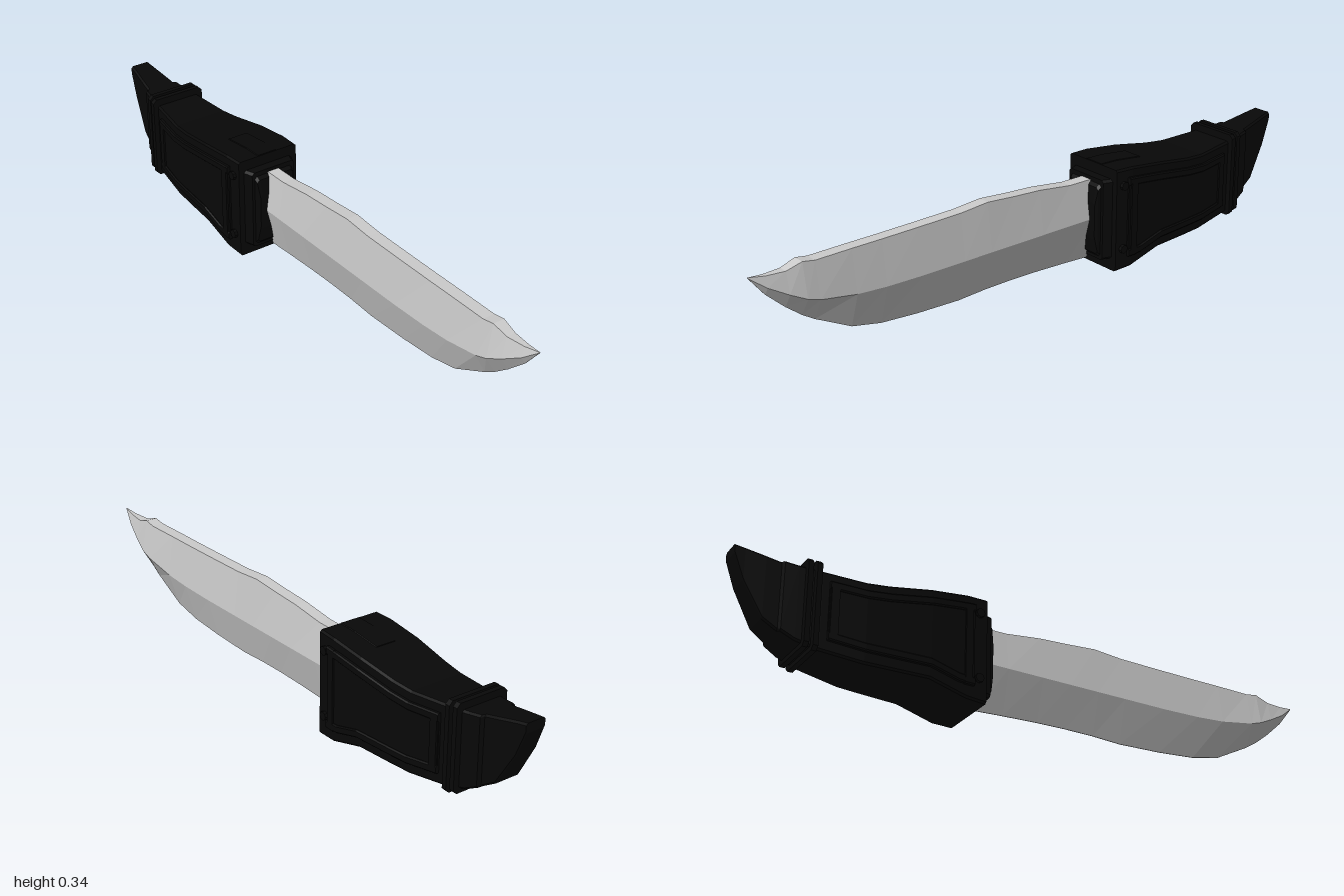
import * as THREE from 'three';

const black = new THREE.MeshStandardMaterial({ color: 0x080808, flatShading: true });
const grey = new THREE.MeshStandardMaterial({ color: 0xcccccc, flatShading: true });

// Skins a row of equal-length rings that advance along +x and caps both ends.
function loft(name, rings, material) {
  const n = rings[0].length, last = (rings.length - 1) * n, index = [];
  for (let i = 0; i < rings.length - 1; i++) {
    for (let j = 0; j < n; j++) {
      const a = i * n + j, b = i * n + (j + 1) % n;
      index.push(a, b, a + n, b, b + n, a + n);
    }
  }
  for (let j = 1; j < n - 1; j++) index.push(0, j + 1, j, last, last + j, last + j + 1);
  const g = new THREE.BufferGeometry();
  g.setAttribute('position', new THREE.Float32BufferAttribute(rings.flat(2), 3));
  g.setIndex(index);
  const flat = g.toNonIndexed();
  flat.computeVertexNormals();
  const mesh = new THREE.Mesh(flat, material);
  mesh.name = name;
  return mesh;
}

// Chamfered rectangular ring: top, bottom, half width, chamfer.
const boxRing = (x, t, b, h, c = 0.008) => [
  [x, t, h - c], [x, t - c, h], [x, b + c, h], [x, b, h - c],
  [x, b, c - h], [x, b + c, -h], [x, t - c, -h], [x, t, c - h],
];

// Handle stations: x, top, bottom, half width
const handle = [
  [-1, 0.34, 0.31, 0.034], [-0.97, 0.335, 0.23, 0.037], [-0.91, 0.323, 0.125, 0.045],
  [-0.865, 0.314, 0.097, 0.05], [-0.86, 0.313, 0.094, 0.062], [-0.82, 0.308, 0.073, 0.068],
  [-0.75, 0.303, 0.055, 0.078], [-0.62, 0.296, 0.04, 0.094], [-0.55, 0.302, 0.039, 0.1],
  [-0.42, 0.323, 0.038, 0.109], [-0.3, 0.337, 0.005, 0.11], [-0.235, 0.339, 0.002, 0.107],
];

// Interpolated handle station at x.
function at(x) {
  const i = Math.max(1, handle.findIndex((s) => s[0] >= x));
  const a = handle[i - 1], b = handle[i], k = (x - a[0]) / (b[0] - a[0]);
  return a.map((v, j) => v + (b[j] - v) * k);
}

// Slab through the handle, showing as a raised strip on both sides.
function strip(name, xs, proud, range) {
  return loft(name, xs.map((x) => {
    const [, t, b, h] = at(x), [y1, y0] = range(t, b);
    return boxRing(x, y1, y0, h + proud, 0.004);
  }), black);
}

function createModel() {
  const model = new THREE.Group();
  model.name = 'knife';

  // Blade: spine, mid ridge and sharp lower edge.
  // x, top, ridge height, bottom, spine half width, ridge half width
  const blade = [
    [-0.21, 0.294, 0.17, 0.025, 0.02, 0.038], [-0.12, 0.295, 0.17, 0.03, 0.02, 0.038],
    [0, 0.31, 0.17, 0.035, 0.02, 0.038], [0.1, 0.316, 0.17, 0.037, 0.02, 0.038],
    [0.2, 0.324, 0.17, 0.036, 0.02, 0.038], [0.3, 0.316, 0.17, 0.031, 0.02, 0.038],
    [0.45, 0.314, 0.17, 0.036, 0.02, 0.038], [0.58, 0.313, 0.173, 0.046, 0.02, 0.038],
    [0.68, 0.313, 0.18, 0.067, 0.02, 0.038], [0.8, 0.312, 0.2, 0.128, 0.02, 0.038],
    [0.84, 0.319, 0.213, 0.153, 0.019, 0.037], [0.89, 0.304, 0.238, 0.192, 0.015, 0.029],
    [0.95, 0.305, 0.272, 0.247, 0.008, 0.016], [1, 0.312, 0.311, 0.31, 0.0005, 0.001],
  ];
  model.add(loft('blade', blade.map(([x, t, r, b, s, w]) => [
    [x, t, s], [x, r, w], [x, b, 0.001], [x, b, -0.001], [x, r, -w], [x, t, -s],
  ]), grey));

  // Handle body with its tapered pommel
  model.add(loft('handle', handle.map((s) => boxRing(...s, 0.006)), black));

  // Grip panels with raised rims on both sides
  const xs = [-0.73, -0.62, -0.55, -0.42, -0.33, -0.28];
  model.add(strip('gripPanel', xs, 0.006, (t, b) => [t - 0.03, Math.max(b + 0.035, 0.045)]));
  model.add(strip('upperRim', xs, 0.012, (t) => [t - 0.03, t - 0.055]));
  model.add(strip('lowerRim', xs, 0.012, (t, b) => {
    const y = Math.max(b + 0.035, 0.045);
    return [y + 0.025, y];
  }));
  for (const x of [-0.715, -0.3]) {
    model.add(strip('endRim', [x - 0.012, x + 0.012], 0.012,
      (t, b) => [t - 0.03, Math.max(b + 0.035, 0.045)]));
  }

  // Twin bands in front of the pommel
  for (const x of [-0.793, -0.767]) {
    const [, t, b, h] = at(x);
    model.add(loft('band', [-0.008, 0.008].map((d) =>
      boxRing(x + d, t + 0.023, b - 0.012, h + 0.018, 0.012)), black));
  }

  // Low rib along the back of the handle
  model.add(loft('backRib', [-0.4, -0.3, -0.237].map((x) => {
    const t = at(x)[1];
    return boxRing(x, t + 0.002, t - 0.02, 0.035, 0.002);
  }), black));

  // Stepped collar where the blade enters
  model.add(loft('collar', [
    boxRing(-0.24, 0.305, 0.04, 0.09), boxRing(-0.205, 0.305, 0.04, 0.078),
  ], black));
  model.add(loft('collarFace', [
    boxRing(-0.21, 0.295, 0.045, 0.07), boxRing(-0.195, 0.28, 0.06, 0.066),
    boxRing(-0.187, 0.23, 0.11, 0.06),
  ], black));

  // Rivets at the front corners of the grip
  for (const y of [0.075, 0.285]) {
    const rivet = new THREE.Mesh(new THREE.CylinderGeometry(0.014, 0.014, 0.236, 8), black);
    rivet.rotation.x = Math.PI / 2;
    rivet.position.set(-0.262, y, 0);
    rivet.name = 'rivet';
    model.add(rivet);
  }
  return model;
}

export { createModel };
